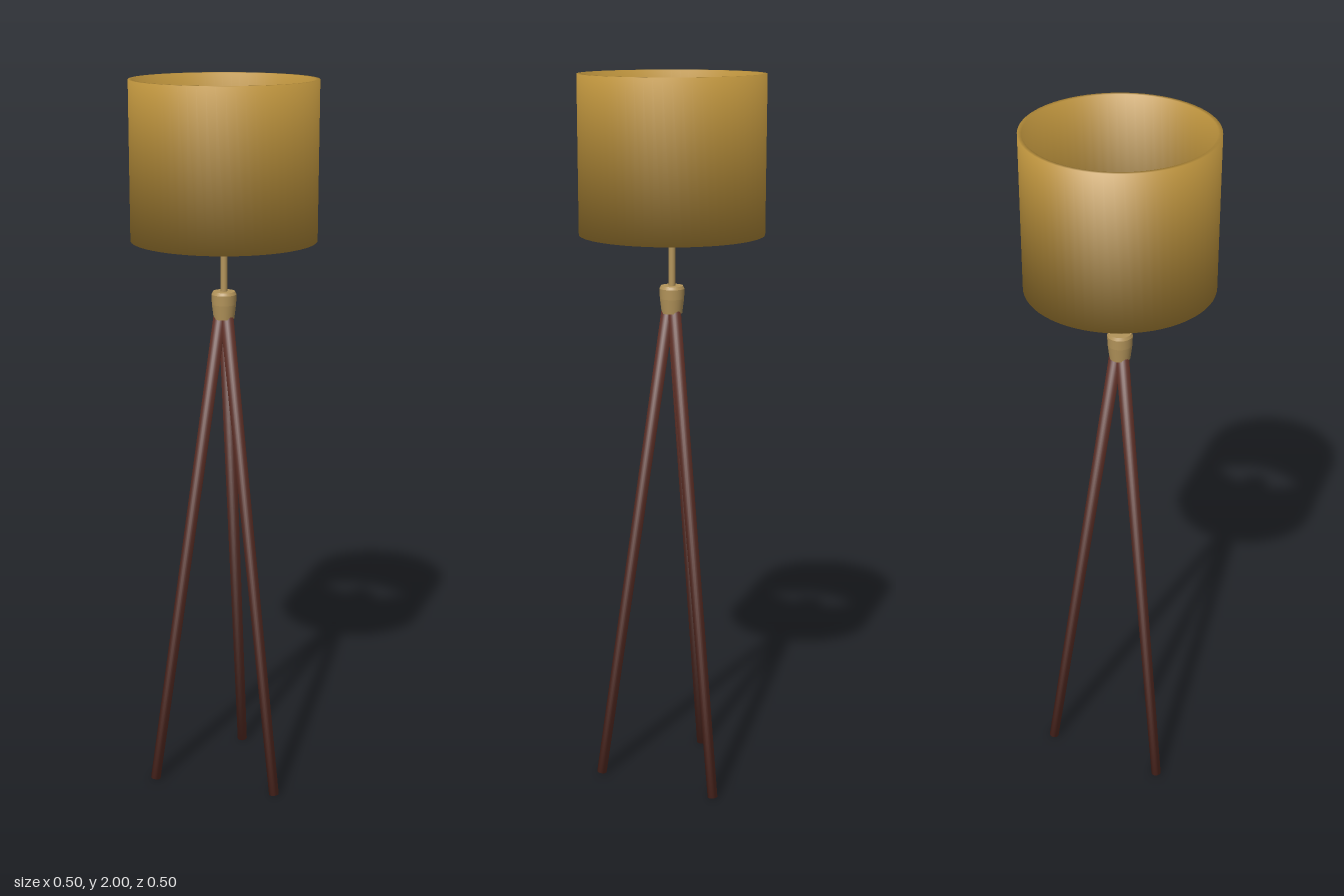
import * as THREE from 'three';
import { mergeVertices } from 'three/addons/utils/BufferGeometryUtils.js';

const mat = (name, color) => {
  const m = new THREE.MeshStandardMaterial({ color });
  m.name = name;
  return m;
};

// Share vertices across edges and average the unit face normals, for soft shading over the rims.
function soften(source) {
  source.deleteAttribute('normal');
  source.deleteAttribute('uv');
  const geo = mergeVertices(source, 1e-4);
  const pos = geo.attributes.position, index = geo.index;
  const sums = Array.from({ length: pos.count }, () => new THREE.Vector3());
  const tri = new THREE.Triangle(), n = new THREE.Vector3();
  for (let i = 0; i < index.count; i += 3) {
    const ids = [0, 1, 2].map((k) => index.getX(i + k));
    tri.setFromAttributeAndIndices(pos, ...ids);
    tri.getNormal(n);
    ids.forEach((id) => sums[id].add(n));
  }
  const normals = new THREE.Float32BufferAttribute(pos.count * 3, 3);
  sums.forEach((s, i) => { s.normalize(); normals.setXYZ(i, s.x, s.y, s.z); });
  geo.setAttribute('normal', normals);
  return geo;
}

const lathe = (points, segments) =>
  new THREE.LatheGeometry(points.map(([r, y]) => new THREE.Vector2(r, y)), segments);

export function createModel() {
  const model = new THREE.Group();
  model.name = 'tripodFloorLamp';
  const wood = mat('dark wood', 0x5c2e25);
  const fabric = mat('ochre fabric', 0xb88f3b);
  const brass = mat('brass', 0xb3945a);
  const glass = mat('bulb glass', 0xdcd2c2);

  const add = (name, geometry, material) => {
    const mesh = new THREE.Mesh(geometry, material);
    mesh.name = name;
    model.add(mesh);
    return mesh;
  };

  // Three tapered legs splayed evenly, one pointing straight back
  const up = new THREE.Vector3(0, 1, 0);
  ['backLeg', 'frontLeftLeg', 'frontRightLeg'].forEach((name, i) => {
    const angle = Math.PI + i * Math.PI * 2 / 3;
    const at = (r, y) => new THREE.Vector3(Math.sin(angle) * r, y, Math.cos(angle) * r);
    const foot = at(0.206, 0.002), top = at(0.009, 1.385);
    const axis = top.clone().sub(foot);
    const leg = add(name, soften(new THREE.CylinderGeometry(0.018, 0.014, axis.length(), 24)), wood);
    leg.position.copy(foot).add(top).multiplyScalar(0.5);
    leg.quaternion.setFromUnitVectors(up, axis.normalize());
  });

  // Collar joining the legs
  add('collar', lathe([
    [0, 1.365], [0.028, 1.365], [0.028, 1.365], [0.033, 1.405], [0.033, 1.405],
    [0.034, 1.432], [0.034, 1.432], [0.03, 1.44], [0.03, 1.44], [0, 1.44],
  ], 32), brass);

  // Stem
  const stem = add('stem', new THREE.CylinderGeometry(0.009, 0.009, 0.2, 20), brass);
  stem.position.y = 1.53;

  // Bulb
  const bulb = add('bulb', new THREE.SphereGeometry(0.05, 32, 20), glass);
  bulb.position.y = 1.72;

  // Open drum shade with a thin wall
  add('shade', soften(lathe([
    [0.25, 1.58], [0.25, 2], [0.239, 2], [0.239, 1.58], [0.25, 1.58],
  ], 64)), fabric);

  return model;
}
